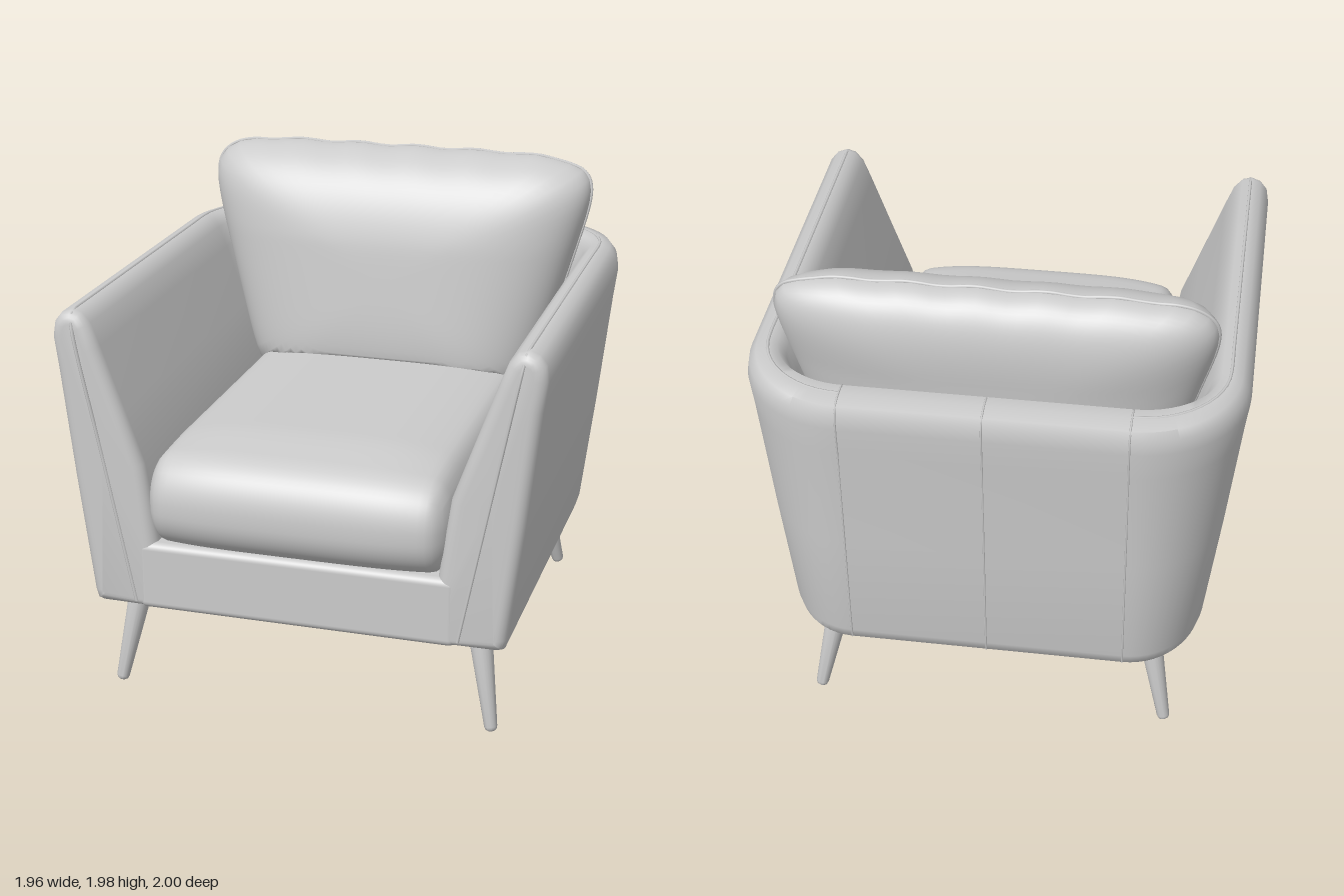
import * as THREE from 'three';
import { mergeVertices, toCreasedNormals } from 'three/addons/utils/BufferGeometryUtils.js';
import { RoundedBoxGeometry } from 'three/addons/geometries/RoundedBoxGeometry.js';

const material = new THREE.MeshStandardMaterial({ color: 0xcccccc, side: THREE.DoubleSide });
const V = (x, y, z) => new THREE.Vector3(x, y, z);
const { smoothstep, clamp } = THREE.MathUtils;

function mesh(name, geometry) {
  const m = new THREE.Mesh(geometry, material);
  m.name = name;
  return m;
}

// Thin piping along a list of points
function piping(name, points, radius, closed = false) {
  const curve = new THREE.CatmullRomCurve3(points, closed, 'centripetal');
  return mesh(name, new THREE.TubeGeometry(curve, points.length * 4, radius, 6, closed));
}

// Moves every vertex by a rule, then welds and smooths the surface
function reshape(geometry, rule) {
  const p = geometry.attributes.position;
  const v = V(0, 0, 0);
  for (let i = 0; i < p.count; i++) {
    rule(v.fromBufferAttribute(p, i));
    p.setXYZ(i, v.x, v.y, v.z);
  }
  geometry.deleteAttribute('uv');
  geometry.deleteAttribute('normal');
  const welded = mergeVertices(geometry, 1e-4);
  welded.computeVertexNormals();
  return welded;
}

// Wall section: [half width at the arm, height, depth at the back]
const SECTION = [
  [0.54, 0.39, -0.70], [0.81, 0.39, -0.92], [0.838, 0.4, -0.935], [0.85, 0.44, -0.943],
  [0.91, 0.92, -0.968], [0.962, 1.38, -0.99], [0.978, 1.5, -1.0], [0.968, 1.56, -0.998],
  [0.94, 1.595, -0.983], [0.90, 1.61, -0.92], [0.86, 1.6, -0.85], [0.825, 1.56, -0.834],
  [0.79, 1.47, -0.828], [0.70, 1.22, -0.79], [0.62, 1.0, -0.74], [0.57, 0.66, -0.70],
];
const CORNER = { x: 0.55, z: -0.57 };
const bend = (x, y, zBack, a) => V(
  CORNER.x + (x - CORNER.x) * Math.cos(a), y, CORNER.z + (zBack - CORNER.z) * Math.sin(a));

// Arms and back as one U-shaped wall, with rounded arm fronts
function shellGeometry() {
  const n = SECTION.length, edge = 0.05, half = [];
  const normals = SECTION.map((_, j) => {
    const a = SECTION[(j + n - 1) % n], b = SECTION[(j + 1) % n];
    return new THREE.Vector2(b[1] - a[1], a[0] - b[0]).normalize();
  });
  for (let k = 0; k <= 6; k++) {
    const a = (k / 6) * Math.PI / 2, inset = edge * (1 - Math.sin(a));
    half.push(SECTION.map(([x, y], j) => V(
      x - normals[j].x * inset, y - normals[j].y * inset, 0.93 - edge * (1 - Math.cos(a)))));
  }
  for (let k = 0; k <= 14; k++) {
    half.push(SECTION.map(([x, y, z]) => bend(x, y, z, (k / 14) * Math.PI / 2)));
  }
  const mirrored = half.slice().reverse().map(ring => ring.map(p => V(-p.x, p.y, p.z)));
  const rings = [...half, ...mirrored];
  const points = rings.flat(), index = [];
  for (let i = 0; i < rings.length - 1; i++) {
    for (let j = 0; j < n; j++) {
      const a = i * n + j, d = i * n + (j + 1) % n;
      index.push(a, a + n, d + n, a, d + n, d);
    }
  }
  // Close both arm fronts
  const last = (rings.length - 1) * n, c = points.length;
  points.push(V(0.78, 1.0, 0.93), V(-0.78, 1.0, 0.93));
  for (let j = 0; j < n; j++) {
    const k = (j + 1) % n;
    index.push(c, j, k, c + 1, last + k, last + j);
  }
  const g = new THREE.BufferGeometry().setFromPoints(points);
  g.setIndex(index);
  return toCreasedNormals(g, 0.85);
}

// Box with elliptical edges, crowned on top, bulging at the front, open underneath
const SEAT = V(0.617, 0.18, 0.9);
const crown = x => 0.07 * (1 - Math.min(1, Math.abs(x) / SEAT.x) ** 4);
function seatGeometry() {
  const h = SEAT, r = V(0.08, 0.17, 0.16);
  const box = new THREE.BoxGeometry(h.x * 2, h.y * 2, h.z * 2, 44, 16, 52);
  const g = reshape(box, v => {
    const core = V(0, 0, 0), e = V(0, 0, 0);
    for (const k of ['x', 'y', 'z']) {
      core[k] = clamp(v[k], r[k] - h[k], h[k] - r[k]);
      e[k] = (v[k] - core[k]) / r[k];
    }
    v.copy(core).add(e.normalize().multiply(r));
    const front = smoothstep(v.z, 0.475, h.z);
    v.z -= 0.05 * (1 - crown(v.x) / 0.07) * front;
    v.y += crown(v.x) * (1 - 0.6 * front) * smoothstep(v.y, -0.05, h.y);
    v.add(V(0, 0.842, 0.1));
  });
  // Keep only a rim of the underside
  const p = g.attributes.position, source = g.index.array, kept = [];
  const open = i => p.getY(i) < 0.667 && Math.abs(p.getX(i)) < 0.5 && p.getZ(i) < 0.76;
  for (let t = 0; t < source.length; t += 3) {
    const face = [source[t], source[t + 1], source[t + 2]];
    if (!face.every(open)) kept.push(...face);
  }
  g.setIndex(kept);
  return g;
}

// Outline of the back cushion: wide at the top, leaning backwards
const seamDepth = y => -0.61 - (y > 1.6 ? 0.16 : 0.11) * (y - 1.6);
function cushionPoint(angle, rho) {
  const c = Math.cos(angle), s = Math.sin(angle), n = 7;
  const k = rho / (Math.abs(c) ** n + Math.abs(s) ** n) ** (1 / n);
  const y = 1.41 + 0.552 * k * s;
  const x = k * c * (0.6 + 0.252 * (y - 0.9) / 0.9);
  const ripple = s > 0 ? 0.005 * Math.sin(x * 24) * rho ** 8 * s : 0;
  // The lower edge rests on the seat
  const seatTop = 1.024 + crown(x) - 0.1 * smoothstep(Math.abs(x), 0.53, 0.62);
  return V(x, Math.max(y + ripple, seatTop), seamDepth(y));
}

function backCushionGeometry() {
  const g = new THREE.SphereGeometry(1, 96, 48).rotateX(Math.PI / 2);
  return reshape(g, v => {
    const rho = Math.min(1, Math.hypot(v.x, v.y));
    const thickness = (v.z > 0 ? 0.265 : 0.2) * Math.sqrt(Math.max(0, 1 - rho ** 3.5));
    const side = Math.sign(v.z);
    v.copy(cushionPoint(Math.atan2(v.y, v.x), rho));
    v.z += side * thickness;
  });
}

export function createModel() {
  const chair = new THREE.Group();
  chair.name = 'armchair';

  chair.add(mesh('armsAndBack', shellGeometry()));

  const rail = mesh('frontRail', new RoundedBoxGeometry(1.3, 0.285, 0.235, 5, 0.03));
  rail.position.set(0, 0.533, 0.814);
  chair.add(rail);

  chair.add(mesh('seatCushion', seatGeometry()));
  chair.add(mesh('backCushion', backCushionGeometry()));
  // Piping over the sides and top of the back cushion
  const outline = [];
  for (let i = 0; i <= 72; i++) outline.push(cushionPoint(-0.6 + (i / 72) * (Math.PI + 1.2), 1));
  chair.add(piping('backCushionPiping', outline, 0.008));

  for (const s of [1, -1]) {
    // Piping up the arm front, along the top and round the corner
    const line = [V(0.66, 0.42, 0.93), V(0.775, 1.0, 0.93), V(0.885, 1.55, 0.93),
      V(0.892, 1.592, 0.912), V(0.895, 1.606, 0.87), V(0.895, 1.607, 0.8), V(0.895, 1.607, 0.6),
      V(0.895, 1.607, 0), V(0.895, 1.607, -0.4)];
    for (let k = 0; k <= 8; k++) line.push(bend(0.895, 1.607, -0.913, (k / 8) * Math.PI / 2));
    chair.add(piping('armPiping', line.map(p => V(p.x * s, p.y, p.z)), 0.007));

    // Splayed tapered legs
    for (const [top, foot] of [
      [V(0.705, 0.42, 0.75), V(0.78, 0.003, 0.83)],
      [V(0.64, 0.42, -0.74), V(0.725, 0.003, -0.825)],
    ]) {
      const axis = V(top.x * s, top.y, top.z).sub(V(foot.x * s, foot.y, foot.z));
      const length = axis.length();
      const profile = [[0, 0], [0.014, 0], [0.022, 0.006], [0.026, 0.018], [0.05, length], [0, length]];
      const leg = mesh(top.z > 0 ? 'frontLeg' : 'backLeg',
        toCreasedNormals(new THREE.LatheGeometry(
          profile.map(([x, y]) => new THREE.Vector2(x, y)), 24), 0.7));
      leg.position.set(foot.x * s, foot.y, foot.z);
      leg.quaternion.setFromUnitVectors(V(0, 1, 0), axis.normalize());
      chair.add(leg);
    }
  }

  // Upright seams on the back panel, running over its top edge
  for (const x of [-0.55, 0, 0.55]) {
    chair.add(piping('backSeam', SECTION.slice(2, 12).map(([, y, z]) => V(x, y, z)), 0.004));
  }
  return chair;
}
